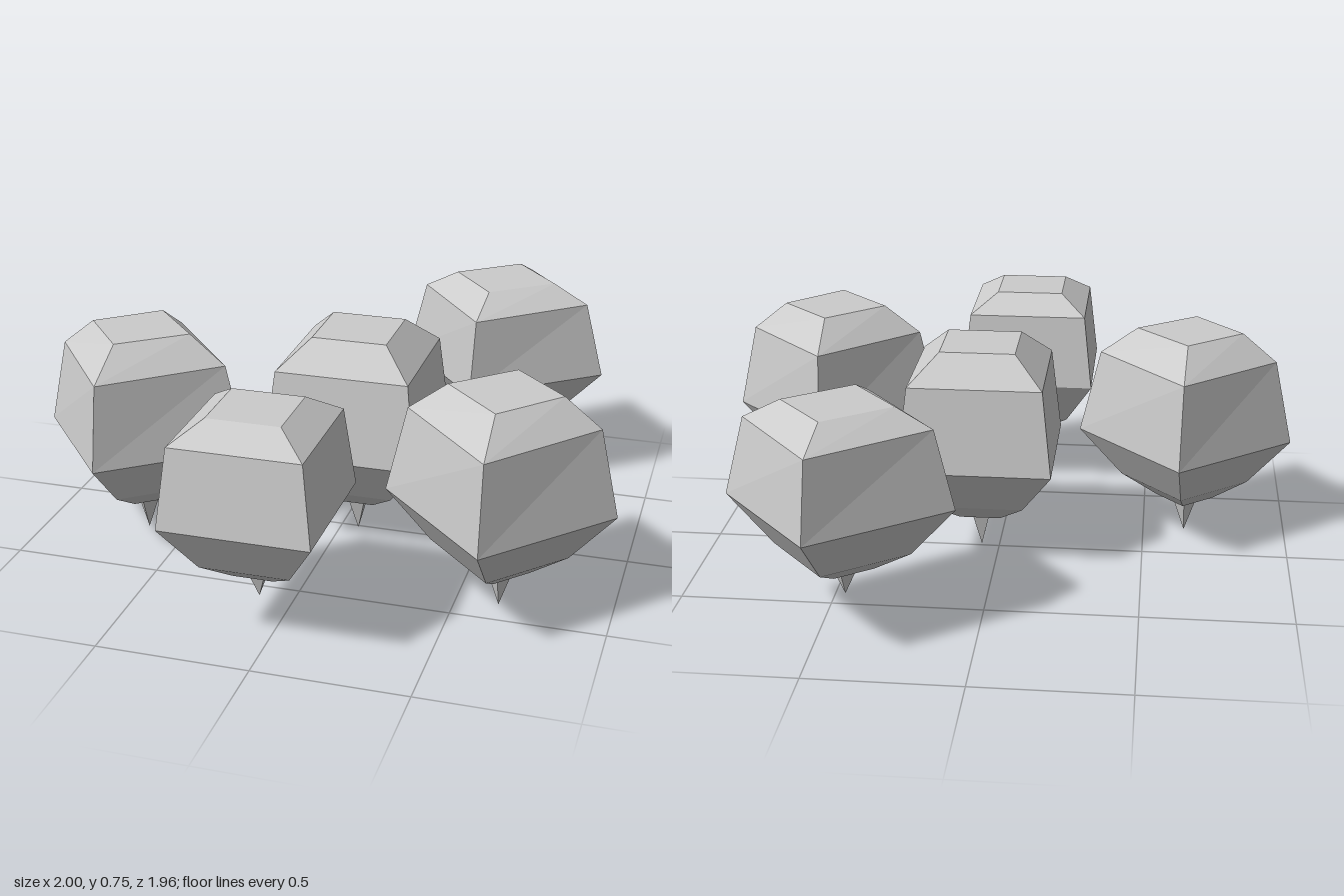
import * as THREE from 'three';

// Heights of: root tip, root base, underside, lower bevel, widest ring, shoulder, flat top
const TALL = [0, 0.13, 0.13, 0.2, 0.36, 0.65, 0.745];
const SHORT = [0.105, 0.2, 0.2, 0.26, 0.42, 0.68, 0.745];

// Ring sizes relative to the widest ring, in x and z
const SQUARE = [[0, 0], [0.12, 0.12], [0.27, 0.27], [0.6, 0.6], [1, 1], [0.872, 0.872], [0.49, 0.49]];
const TURNED = SQUARE.map((s, i) => (i === 5 ? [0.82, 0.89] : s));

const square = (x, z, h) => [[x - h, z - h], [x + h, z - h], [x + h, z + h], [x - h, z + h]];

// Root centre and the four corners (clockwise from above) of each widest ring
const BULBS = [
  { name: 'centreBulb', centre: [0.062, 0.013], corners: square(0.062, 0.012, 0.257), heights: TALL, sizes: SQUARE },
  { name: 'frontBulb', centre: [-0.055, 0.735], corners: square(-0.05, 0.74, 0.24), heights: SHORT, sizes: SQUARE },
  { name: 'leftBulb', centre: [0.639, 0.402], corners: [[0.639, 0.045], [0.997, 0.398], [0.639, 0.783], [0.259, 0.398]], heights: TALL, sizes: TURNED },
  { name: 'rightBulb', centre: [-0.645, 0.208], corners: [[-0.615, -0.147], [-0.265, 0.238], [-0.682, 0.559], [-1, 0.174]], heights: TALL, sizes: TURNED },
  { name: 'backBulb', centre: [0.425, -0.632], corners: [[0.481, -0.981], [0.8, -0.602], [0.382, -0.281], [0.067, -0.666]], heights: SHORT, sizes: TURNED },
];

// Four-sided loft through the scaled rings, closed by a flat top
function bulbGeometry({ centre, corners, heights, sizes }) {
  const rings = heights.map((y, r) => corners.map(([x, z]) => [
    centre[0] + (x - centre[0]) * sizes[r][0], y, centre[1] + (z - centre[1]) * sizes[r][1],
  ]));
  const positions = [];
  const triangle = (...points) => points.forEach((p) => positions.push(...p));
  for (let r = 0; r < rings.length - 1; r++) {
    const a = rings[r], b = rings[r + 1];
    for (let i = 0; i < 4; i++) {
      const j = (i + 1) % 4;
      if (r > 0) triangle(a[j], a[i], b[i]);
      triangle(a[j], b[i], b[j]);
    }
  }
  const top = rings[rings.length - 1];
  triangle(top[0], top[2], top[1]);
  triangle(top[0], top[3], top[2]);
  const geometry = new THREE.BufferGeometry();
  geometry.setAttribute('position', new THREE.Float32BufferAttribute(positions, 3));
  geometry.computeVertexNormals();
  return geometry;
}

export function createModel() {
  const group = new THREE.Group();
  group.name = 'rootVegetables';
  const material = new THREE.MeshStandardMaterial({ color: 0xcccccc, flatShading: true });
  for (const bulb of BULBS) {
    const mesh = new THREE.Mesh(bulbGeometry(bulb), material);
    mesh.name = bulb.name;
    group.add(mesh);
  }
  return group;
}
